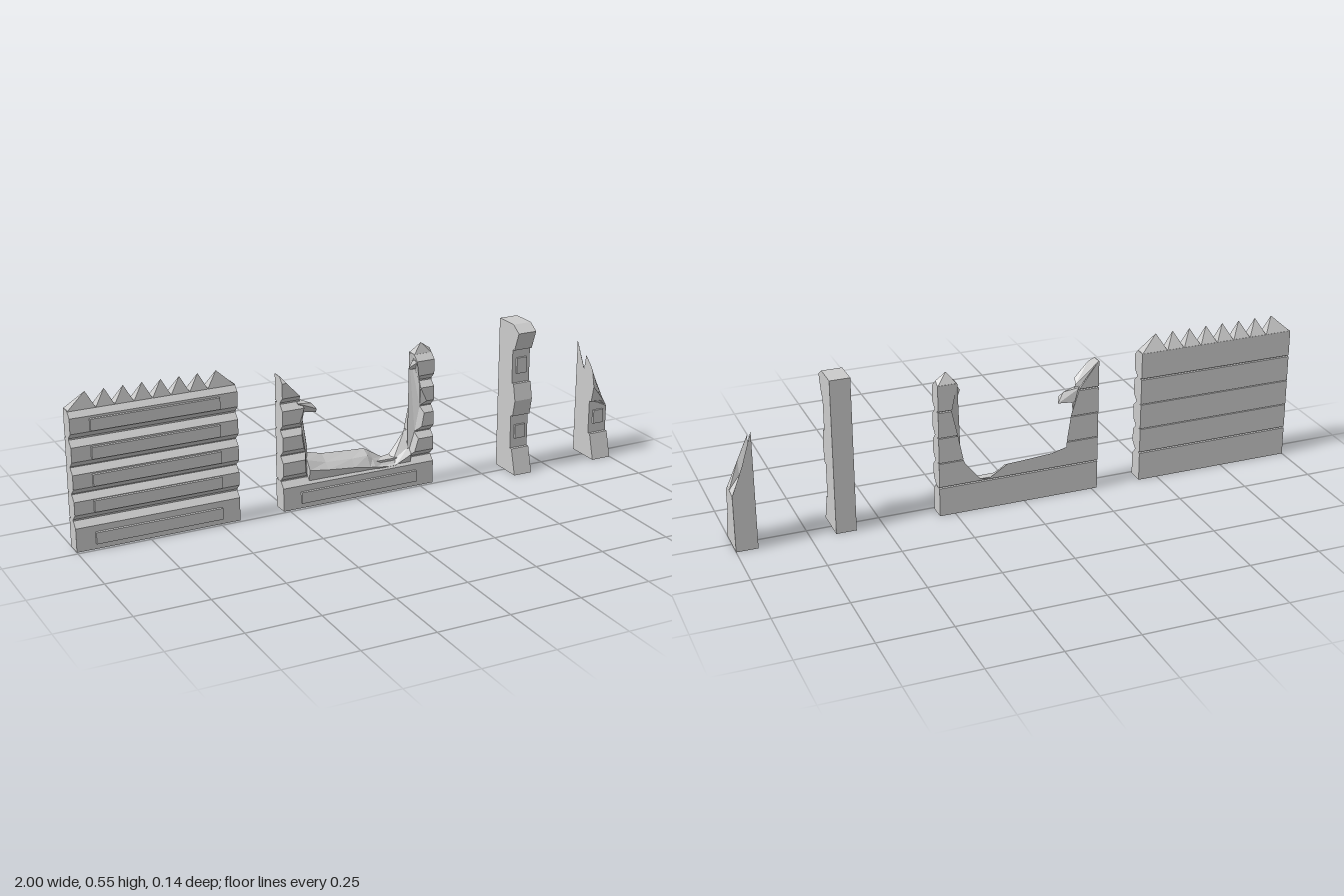
import * as THREE from 'three';
import { ConvexGeometry } from 'three/addons/geometries/ConvexGeometry.js';

const material = new THREE.MeshStandardMaterial({ color: 0xcccccc, flatShading: true });
const ROWS = [[0, 0.102], [0.107, 0.193], [0.196, 0.285], [0.288, 0.378], [0.383, 0.475]];
const BACK = -0.067, GROOVE = -0.058, FRONT = -0.01, CHAMFER = 0.02;

function add(parent, name, geometry) {
  const mesh = new THREE.Mesh(geometry, material);
  mesh.name = name;
  parent.add(mesh);
  return mesh;
}

function box(parent, name, x0, x1, y0, y1, z0, z1) {
  const mesh = add(parent, name, new THREE.BoxGeometry(x1 - x0, y1 - y0, z1 - z0));
  mesh.position.set((x0 + x1) / 2, (y0 + y1) / 2, (z0 + z1) / 2);
}

function shard(parent, name, points) {
  add(parent, name, new ConvexGeometry(points.map((p) => new THREE.Vector3(...p))));
}

// Closed solid through rings of [x, y, z], ordered by rising x; each ring runs up the front and down the back
function loft(rings) {
  const out = [];
  const put = (...points) => points.forEach((p) => out.push(...p));
  for (let k = 0; k + 1 < rings.length; k++) {
    const p = rings[k], q = rings[k + 1];
    for (let i = 0; i < p.length; i++) {
      const j = (i + 1) % p.length;
      put(p[i], q[i], q[j], p[i], q[j], p[j]);
    }
  }
  for (const [ring, flip] of [[rings[0], false], [rings[rings.length - 1], true]]) {
    const flat = ring.map((p) => new THREE.Vector2(p[2], p[1]));
    for (const [a, b, c] of THREE.ShapeUtils.triangulateShape(flat, [])) {
      if (flip) put(ring[a], ring[c], ring[b]);
      else put(ring[a], ring[b], ring[c]);
    }
  }
  const geometry = new THREE.BufferGeometry();
  geometry.setAttribute('position', new THREE.Float32BufferAttribute(out, 3));
  geometry.computeVertexNormals();
  return geometry;
}

// Place a [z, y] profile at x, where x is a number or a rule of (y, z)
const ringAt = (profile, x) =>
  profile.map(([z, y]) => [typeof x === 'function' ? x(y, z) : x, y, z]);

// Outline of stacked planks: chamfered in front, thin grooves behind
function plankProfile(rows) {
  const front = [], back = [];
  for (const [y0, y1] of rows) {
    if (y0 === 0) front.push([FRONT, 0]);
    else front.push([FRONT - CHAMFER, y0], [FRONT, y0 + CHAMFER]);
    front.push([FRONT, y1 - CHAMFER], [FRONT - CHAMFER, y1]);
  }
  rows.forEach(([y0, y1], i) => {
    if (i > 0) back.push([GROOVE, y0]);
    back.push([BACK, y0], [BACK, y1]);
    if (i < rows.length - 1) back.push([GROOVE, y1]);
  });
  return [...front, ...back.reverse()];
}

// Piecewise linear lookup of x by y
function follow(points, y) {
  if (y <= points[0][0]) return points[0][1];
  for (let i = 1; i < points.length; i++) {
    const [ya, xa] = points[i - 1], [yb, xb] = points[i];
    if (y <= yb) return xa + ((xb - xa) * (y - ya)) / (yb - ya);
  }
  return points[points.length - 1][1];
}

function createWall() {
  const wall = new THREE.Group();
  wall.name = 'plankWall';
  const profile = plankProfile(ROWS);
  add(wall, 'planks', loft([ringAt(profile, -1), ringAt(profile, -0.43)]));
  for (const [y0] of ROWS) {
    const y = y0 === 0 ? 0.02 : y0 + 0.024;
    box(wall, 'raisedPanel', -0.935, -0.495, y, y + 0.04, -0.02, 0);
  }
  // Row of spikes, wider at both ends
  const edges = [-1, -0.905, -0.842, -0.778, -0.715, -0.652, -0.588, -0.525, -0.43];
  for (let i = 0; i < 8; i++) {
    const a = edges[i], b = edges[i + 1];
    const tip = i === 0 ? -0.937 : i === 7 ? -0.493 : (a + b) / 2;
    shard(wall, 'spike', [[a, 0.473, BACK], [b, 0.473, BACK], [a, 0.473, -0.028],
      [b, 0.473, -0.028], [tip, 0.53, -0.036]]);
  }
  return wall;
}

function createBrokenWall() {
  const wall = new THREE.Group();
  wall.name = 'brokenWall';
  const base = plankProfile(ROWS.slice(0, 1));
  const upper = plankProfile(ROWS.slice(1));
  add(wall, 'bottomPlank', loft([ringAt(base, -0.27), ringAt(base, 0.305)]));
  box(wall, 'raisedPanel', -0.205, 0.235, 0.02, 0.06, -0.02, 0);
  box(wall, 'grooveFill', -0.269, 0.304, 0.095, 0.109, GROOVE, -0.032);

  // Stumps left standing at each end, torn back further at the front
  const tornLow = [[0.107, -0.15], [0.2, -0.155], [0.31, -0.172], [0.385, -0.2], [0.4, -0.202], [0.47, -0.268]];
  const tornHigh = [[0.107, 0.19], [0.2, 0.22], [0.3, 0.24], [0.38, 0.258], [0.41, 0.24], [0.475, 0.237]];
  const tear = (y, z) => (y < 0.32 ? (0.035 * (z - BACK)) / (FRONT - BACK) : 0);
  add(wall, 'rightStump', loft([ringAt(upper, -0.27),
    ringAt(upper, (y, z) => follow(tornLow, y) - tear(y, z))]));
  add(wall, 'leftStump', loft([
    ringAt(upper, (y, z) => follow(tornHigh, y) + tear(y, z)), ringAt(upper, 0.305)]));

  // Splintered remains of the second plank: x, front, middle and back heights
  const remains = [[-0.17, 0.13, 0.16, 0.18], [-0.1, 0.12, 0.14, 0.162], [0, 0.11, 0.135, 0.155],
    [0.06, 0.1, 0.135, 0.152], [0.08, 0.098, 0.12, 0.14], [0.13, 0.09, 0.095, 0.109],
    [0.16, 0.09, 0.1, 0.114], [0.22, 0.12, 0.14, 0.19]];
  add(wall, 'splinteredPlank', loft(remains.map(([x, f, m, b]) => ringAt([
    [-0.02, 0.085], [-0.012, f], [-0.035, m], [BACK, b],
    [BACK, 0.107], [GROOVE, 0.107], [GROOVE, 0.085]], x))));

  // Loose splinters and the jagged tip
  shard(wall, 'splinter', [[-0.21, 0.385, -0.055], [-0.21, 0.375, -0.015], [-0.19, 0.33, -0.05],
    [-0.155, 0.365, -0.03], [-0.14, 0.345, -0.02], [-0.135, 0.328, -0.035]]);
  shard(wall, 'splinter', [[0.262, 0.47, -0.055], [0.262, 0.46, -0.015], [0.262, 0.42, -0.04],
    [0.23, 0.455, -0.03], [0.213, 0.432, -0.025], [0.225, 0.42, -0.04]]);
  shard(wall, 'jaggedTip', [[0.237, 0.473, BACK], [0.305, 0.473, BACK], [0.237, 0.473, -0.03],
    [0.305, 0.473, -0.03], [0.305, 0.487, -0.045], [0.268, 0.512, -0.042]]);
  return wall;
}

const FOOT = [[0.068, 0], [0.043, 0.092], [0.032, 0.092]];

function createPost() {
  const post = new THREE.Group();
  post.name = 'post';
  const profile = [...FOOT, [0.032, 0.215], [0.043, 0.215], [0.056, 0.275], [0.043, 0.335],
    [0.032, 0.335], [0.032, 0.458], [0.043, 0.458], [0.068, 0.525], [0.032, 0.549],
    [GROOVE, 0.549], [GROOVE, 0]];
  add(post, 'postBody', loft([ringAt(profile, 0.594), ringAt(profile, 0.664)]));
  box(post, 'lowerStud', 0.609, 0.649, 0.128, 0.178, 0.02, 0.04);
  box(post, 'upperStud', 0.609, 0.649, 0.37, 0.427, 0.02, 0.04);
  return post;
}

function createBrokenPost() {
  const post = new THREE.Group();
  post.name = 'brokenPost';
  // Torn from a tall spike on one side to a low edge on the other
  const tall = [...FOOT, [0.032, 0.215], [0.043, 0.215], [0.056, 0.275], [0.043, 0.335],
    [0.032, 0.35], [0, 0.38], [-0.01, 0.325], [GROOVE, 0.42], [GROOVE, 0]];
  const middle = [...FOOT, [0.032, 0.205], [0.04, 0.215], [0.046, 0.235], [0.03, 0.25],
    [0.022, 0.27], [0, 0.3], [-0.01, 0.25], [GROOVE, 0.3], [GROOVE, 0]];
  const low = [...FOOT, [0.032, 0.185], [0.028, 0.19], [0.02, 0.197], [0.01, 0.205],
    [0.005, 0.21], [0, 0.215], [-0.02, 0.207], [GROOVE, 0.2], [GROOVE, 0]];
  add(post, 'postBody', loft([ringAt(tall, 0.926), ringAt(middle, 0.962), ringAt(low, 1)]));
  box(post, 'stud', 0.942, 0.982, 0.128, 0.178, 0.02, 0.04);
  return post;
}

export function createModel() {
  const model = new THREE.Group();
  model.name = 'woodenBarricadeSet';
  model.add(createWall(), createBrokenWall(), createPost(), createBrokenPost());
  return model;
}
